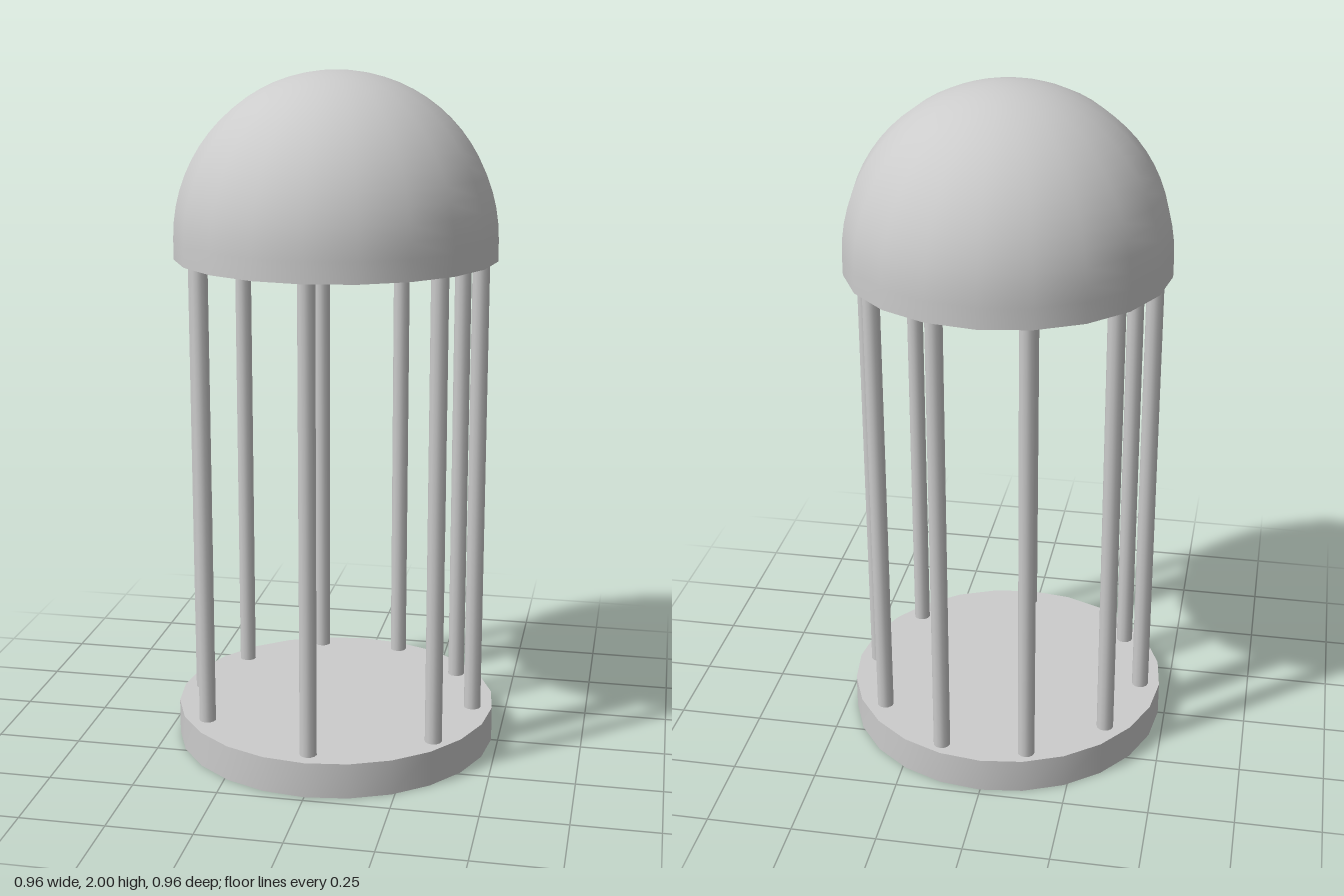
import * as THREE from 'three';
import { toCreasedNormals } from 'three/addons/utils/BufferGeometryUtils.js';

export function createModel() {
  const group = new THREE.Group();
  const material = new THREE.MeshStandardMaterial({ color: 0xcccccc });

  const add = (name, geometry, x = 0, y = 0, z = 0) => {
    const mesh = new THREE.Mesh(geometry, material);
    mesh.name = name;
    mesh.position.set(x, y, z);
    group.add(mesh);
    return mesh;
  };

  const baseTop = 0.105, ringBottom = 1.47, springLine = 1.53;

  // Round floor slab
  add('base', toCreasedNormals(new THREE.CylinderGeometry(0.48, 0.48, baseTop, 24), 0.5), 0, baseTop / 2, 0);

  // Columns: one in front, pairs around the sides and back
  const columnSpots = [
    [0, 0.42],
    [0.338, 0.265], [-0.343, 0.245],
    [0.42, 0], [-0.42, 0],
    [0.34, -0.245], [-0.34, -0.245],
    [0.127, -0.415], [-0.127, -0.415],
  ];
  const columnHeight = ringBottom - baseTop + 0.02;
  const columnGeometry = new THREE.CylinderGeometry(0.025, 0.025, columnHeight, 12);
  for (const [x, z] of columnSpots) {
    add('column', columnGeometry, x, baseTop - 0.01 + columnHeight / 2, z);
  }

  // Ring beam and hollow dome, turned as one shell
  const outer = 0.468, inner = 0.385, steps = 16;
  const profile = [
    new THREE.Vector2(inner, ringBottom),
    new THREE.Vector2(outer, ringBottom),
  ];
  for (let i = 0; i <= steps; i++) {
    const a = (i / steps) * Math.PI / 2;
    profile.push(new THREE.Vector2(outer * Math.cos(a), springLine + (2 - springLine) * Math.sin(a)));
  }
  for (let i = steps; i >= 0; i--) {
    const a = (i / steps) * Math.PI / 2;
    profile.push(new THREE.Vector2(inner * Math.cos(a), springLine + inner * Math.sin(a)));
  }
  profile.push(new THREE.Vector2(inner, ringBottom));
  add('dome', toCreasedNormals(new THREE.LatheGeometry(profile, 20), 0.6));

  return group;
}
